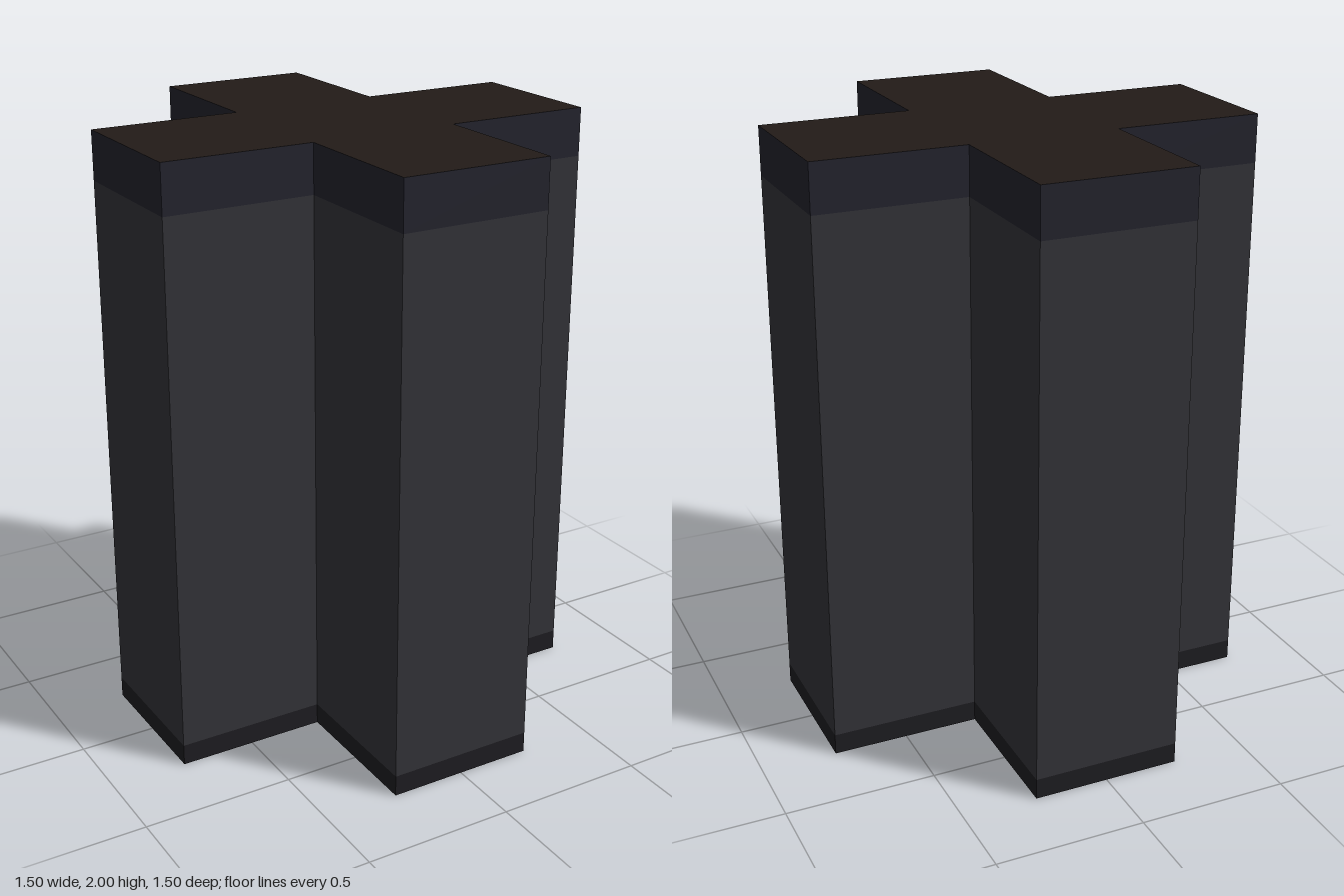
import * as THREE from 'three';
import { mergeGeometries } from 'three/addons/utils/BufferGeometryUtils.js';

const ARM = 0.75, HALF = 0.25;

// Plus-shaped outline, counter-clockwise: one arm's three corners turned four times
function crossOutline() {
  const points = [];
  for (let i = 0; i < 4; i++) {
    for (const [x, y] of [[ARM, -HALF], [ARM, HALF], [HALF, HALF]]) {
      points.push(new THREE.Vector2(x, y).rotateAround(new THREE.Vector2(), i * Math.PI / 2));
    }
  }
  return points;
}

// Thin upright wall following the outline between two heights
function wallBand(outline, y0, y1) {
  const sides = outline.map((p, i) => {
    const q = outline[(i + 1) % outline.length];
    const along = q.clone().sub(p);
    const side = new THREE.PlaneGeometry(along.length(), y1 - y0);
    side.rotateY(along.angle());
    side.translate((p.x + q.x) / 2, (y0 + y1) / 2, -(p.y + q.y) / 2);
    return side;
  });
  return mergeGeometries(sides);
}

export function createModel() {
  const group = new THREE.Group();
  group.name = 'crossColumn';
  const outline = crossOutline();

  const add = (name, geometry, color) => {
    const material = new THREE.MeshStandardMaterial({ color, side: THREE.DoubleSide });
    const mesh = new THREE.Mesh(geometry, material);
    mesh.name = name;
    group.add(mesh);
  };

  // Walls in three stacked bands, open at the bottom
  add('bottomBand', wallBand(outline, 0, 0.07), 0x1e1d21);
  add('columnWalls', wallBand(outline, 0.07, 1.84), 0x333338);
  add('topBand', wallBand(outline, 1.84, 2), 0x23232d);

  // Flat lid
  const lid = new THREE.ShapeGeometry(new THREE.Shape(outline));
  lid.rotateX(-Math.PI / 2);
  lid.translate(0, 2, 0);
  add('lid', lid, 0x221b18);

  return group;
}
